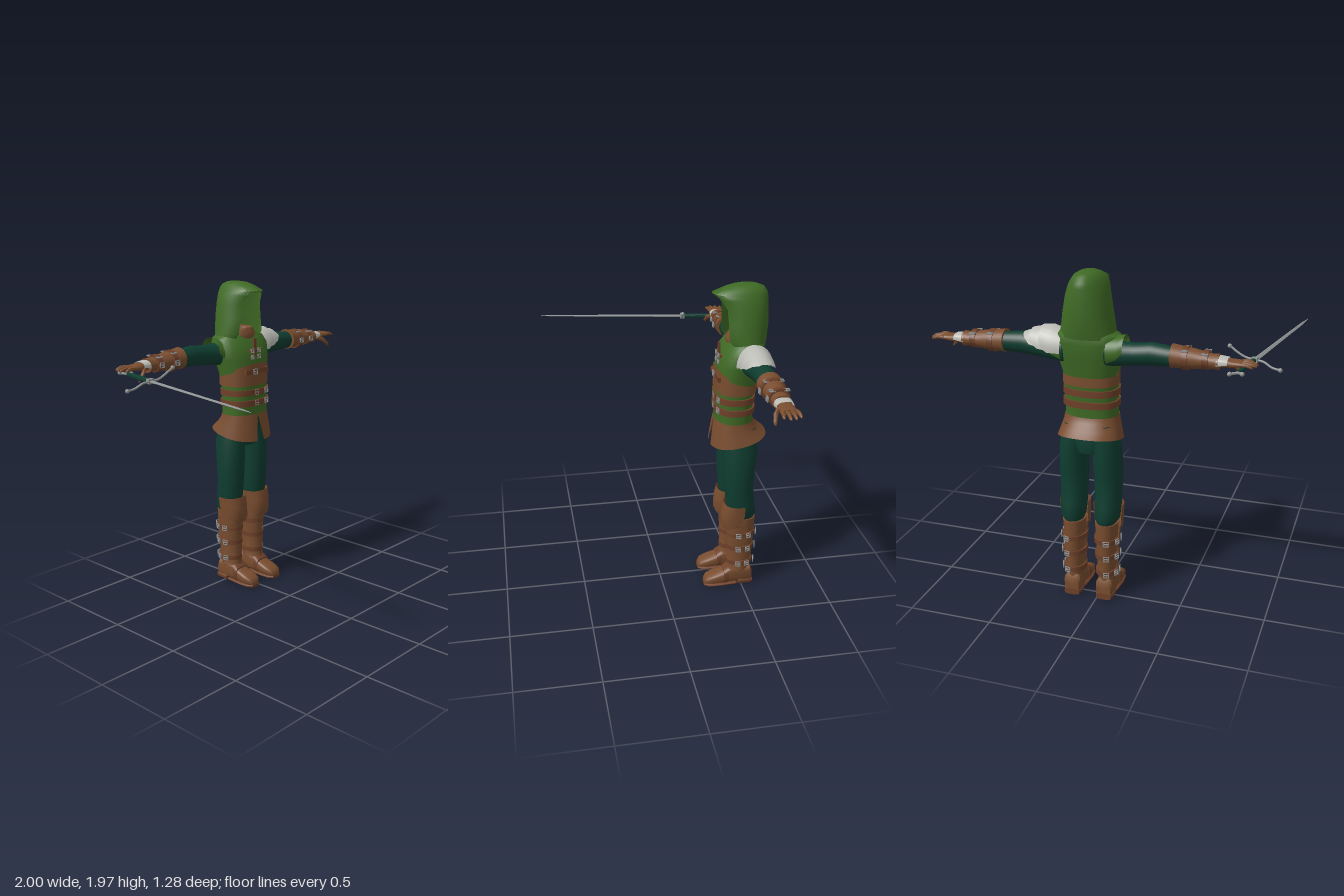
import * as THREE from 'three';
import { toCreasedNormals } from 'three/addons/utils/BufferGeometryUtils.js';

const mat = (name, color, side = THREE.FrontSide) => {
  const m = new THREE.MeshStandardMaterial({ color, side });
  m.name = name;
  return m;
};

// Rings along y: [y, cx, cz, rx, rz, gap]. An open ring leaves a gap opposite the angle mid (0 = front).
function loft(rings, { p = 2, seg = 32, mid = null, caps = true, warp = null, crease = 0.7 } = {}) {
  const open = mid !== null, n = open ? seg + 1 : seg, pos = [], idx = [];
  const pw = (v) => Math.sign(v) * Math.abs(v) ** (2 / p);
  const v = new THREE.Vector3();
  for (const [y, cx, cz, rx, rz, gap = 0] of rings) {
    for (let j = 0; j < n; j++) {
      const a = open ? mid + ((2 * j) / seg - 1) * (Math.PI - gap) : (j / seg) * Math.PI * 2;
      v.set(cx + rx * pw(Math.sin(a)), y, cz + rz * pw(Math.cos(a)));
      if (warp) warp(v);
      pos.push(v.x, v.y, v.z);
    }
  }
  for (let i = 0; i < rings.length - 1; i++) {
    for (let j = 0; j < seg; j++) {
      const k = (j + 1) % n, a = i * n + j, b = i * n + k, c = b + n, d = a + n;
      idx.push(a, b, c, a, c, d);
    }
  }
  if (caps && !open) {
    for (const i of [0, rings.length - 1]) {
      const [y, cx, cz] = rings[i], c = pos.length / 3;
      pos.push(cx, y, cz);
      for (let j = 0; j < seg; j++) {
        const a = i * n + j, b = i * n + ((j + 1) % n);
        if (i === 0) idx.push(c, b, a); else idx.push(c, a, b);
      }
    }
  }
  const g = new THREE.BufferGeometry();
  g.setAttribute('position', new THREE.Float32BufferAttribute(pos, 3));
  g.setIndex(idx);
  return toCreasedNormals(g, crease);
}

// Closed band with square edges
const band = (y0, y1, cx, cz, rx, rz, opt) => loft([
  [y0, cx, cz, rx - 0.02, rz - 0.02], [y0, cx, cz, rx, rz],
  [y1, cx, cz, rx, rz], [y1, cx, cz, rx - 0.02, rz - 0.02]], { caps: false, ...opt });

export function createModel() {
  const green = mat('hood green', 0x3f6a25, THREE.DoubleSide);
  const teal = mat('dark teal cloth', 0x0f3d30);
  const brown = mat('brown leather', 0x794d2f, THREE.DoubleSide);
  const strap = mat('strap leather', 0x6e4029);
  const silver = mat('silver metal', 0x8b8f8e);
  const pale = mat('pale plate', 0xbcbcb6, THREE.DoubleSide);

  const root = new THREE.Group();
  root.name = 'hoodedSwordsman';
  const body = new THREE.Group();
  body.name = 'body';
  body.position.set(0.055, 0, -0.47);
  root.add(body);
  const add = (name, geo, m, parent = body) => {
    const o = new THREE.Mesh(geo, m);
    o.name = name;
    parent.add(o);
    return o;
  };
  const tube = (pts, r, seg = 16) => new THREE.TubeGeometry(
    new THREE.CatmullRomCurve3(pts.map((q) => new THREE.Vector3(...q))), seg, r, 8);

  // Square buckle frame with a prong
  const buckle = (x, y, z, rotY = 0, size = 0.022, flat = false) => {
    const b = new THREE.Group();
    b.name = 'buckle';
    b.position.set(x, y, z);
    b.rotation.set(flat ? -Math.PI / 2 : 0, rotY, 0);
    add('buckleFrame', new THREE.TorusGeometry(size, 0.0045, 6, 4).rotateZ(Math.PI / 4), silver, b);
    add('bucklePin', new THREE.BoxGeometry(size * 1.7, 0.006, 0.008), silver, b);
    body.add(b);
  };

  // Torso
  add('vest', loft([[1.12, 0, 0.03, 0.152, 0.11], [1.3, 0, 0.03, 0.152, 0.112], [1.4, 0, 0.02, 0.16, 0.122],
    [1.5, 0, 0.008, 0.186, 0.128], [1.58, 0, -0.01, 0.198, 0.125], [1.625, 0, -0.025, 0.185, 0.105],
    [1.66, 0, -0.03, 0.12, 0.09]], { p: 2.5 }), green);
  add('corset', band(1.33, 1.39, 0, 0.025, 0.161, 0.124, {
    p: 2.5, warp: (v) => { if (v.y > 1.38) v.y += 0.075 * Math.max(0, v.z / 0.14); } }), brown);
  for (const y of [1.2, 1.268]) {
    add('beltStrap', band(y, y + 0.038, 0, 0.03, 0.163, 0.122, { p: 2.5 }), strap);
    for (const x of [-0.01, 0.085]) buckle(x, y + 0.019, 0.15 - Math.abs(x) * 0.08, x * 2);
  }
  add('chestStrap', new THREE.BoxGeometry(0.2, 0.03, 0.02), strap).position.set(0, 1.42, 0.14);
  buckle(-0.02, 1.42, 0.152);
  add('frontPlacket', new THREE.BoxGeometry(0.022, 0.17, 0.012), strap).position.set(0, 1.54, 0.126);
  for (const y of [1.51, 1.55]) {
    add('chestTab', new THREE.BoxGeometry(0.11, 0.016, 0.012), strap).position.set(0, y, 0.126);
    for (const s of [-1, 1]) buckle(s * 0.03, y, 0.136, 0, 0.016);
  }
  add('collar', loft([[1.62, 0, -0.01, 0.1, 0.095], [1.65, 0, -0.005, 0.1, 0.095], [1.685, 0, -0.01, 0.085, 0.08],
    [1.68, 0, -0.01, 0.07, 0.065], [1.64, 0, -0.01, 0.06, 0.055]]), brown);

  // Split skirt with a lower front hem
  add('skirt', loft([[1.01, 0, 0, 0.187, 0.172, 0.13], [1.06, 0, 0.015, 0.175, 0.148, 0.08],
    [1.11, 0, 0.028, 0.162, 0.126, 0.03], [1.145, 0, 0.03, 0.157, 0.117, 0.01]], {
    mid: Math.PI, p: 2.3, seg: 40,
    warp: (v) => { v.y -= 0.037 * (v.z / 0.17) * Math.max(0, (1.145 - v.y) / 0.135); } }), brown);
  add('hips', loft([[0.93, 0, -0.005, 0.1, 0.09], [1.0, 0, 0, 0.15, 0.105], [1.13, 0, 0.02, 0.148, 0.1]]), teal);

  // Hood, open at the face and peaked forward
  add('hood', loft([[1.615, 0, -0.03, 0.16, 0.115, 0.72], [1.66, 0, -0.015, 0.152, 0.138, 0.72],
    [1.75, 0, -0.018, 0.138, 0.143, 0.7], [1.84, 0, -0.014, 0.122, 0.143, 0.66], [1.895, 0, 0, 0.107, 0.155, 0.5],
    [1.922, 0, 0.012, 0.094, 0.163, 0.02], [1.95, 0, -0.012, 0.072, 0.12, 0], [1.966, 0, -0.018, 0.045, 0.075, 0],
    [1.973, 0, -0.02, 0.001, 0.002, 0]], { mid: Math.PI, p: 2.1, seg: 40, crease: 1.1 }), green);

  for (const s of [1, -1]) {
    const side = s > 0 ? 'left' : 'right';
    const limb = (name, rings, m, opt) => add(side + name, loft(rings, opt), m);

    // Trousers
    limb('TrouserLeg', [[0.485, s * 0.1, -0.03, 0.055, 0.07], [0.52, s * 0.105, -0.025, 0.073, 0.088],
      [0.6, s * 0.105, -0.01, 0.078, 0.09], [0.7, s * 0.105, 0, 0.081, 0.089], [0.8, s * 0.104, 0, 0.085, 0.095],
      [0.95, s * 0.1, -0.004, 0.083, 0.106], [1.1, s * 0.08, 0, 0.075, 0.095]], teal);

    // Boots
    limb('BootShaft', [[0.03, s * 0.1, -0.03, 0.05, 0.066], [0.13, s * 0.1, -0.022, 0.052, 0.07],
      [0.3, s * 0.1, -0.025, 0.058, 0.08], [0.49, s * 0.1, -0.025, 0.068, 0.086],
      [0.49, s * 0.1, -0.025, 0.055, 0.07]], brown);
    limb('ShinGuard', [[0.12, s * 0.1, -0.01, 0.066, 0.078, 1.45], [0.145, s * 0.1, -0.012, 0.06, 0.074, 1.45],
      [0.3, s * 0.1, -0.015, 0.066, 0.08, 1.45], [0.46, s * 0.102, -0.01, 0.076, 0.088, 1.45]], brown, { mid: 0 });
    limb('KneePlate', [[0.425, s * 0.102, 0.004, 0.078, 0.093, 2.0], [0.455, s * 0.102, 0.004, 0.081, 0.105, 1.5],
      [0.53, s * 0.104, 0, 0.085, 0.106, 1.4], [0.595, s * 0.104, -0.004, 0.09, 0.095, 1.4]], brown,
    { mid: 0, p: 2.4 });
    const foot = (name, rows, y0, m) => add(side + name, loft(rows.map(([z, h, w]) =>
      [z, s * 0.1, -(y0 + h / 2), w, h / 2]), { p: 3.2 }).rotateX(Math.PI / 2), m);
    foot('Foot', [[-0.1, 0.09, 0.042], [-0.085, 0.12, 0.052], [0.04, 0.118, 0.052], [0.085, 0.085, 0.055],
      [0.15, 0.064, 0.056], [0.19, 0.047, 0.047], [0.207, 0.025, 0.03]], 0.015, brown);
    foot('Sole', [[0.0, 0.02, 0.05], [0.12, 0.02, 0.059], [0.185, 0.02, 0.052], [0.21, 0.02, 0.033]], 0, strap);
    foot('Heel', [[-0.104, 0.04, 0.046], [-0.08, 0.04, 0.054], [-0.01, 0.04, 0.054]], 0, strap);
    foot('InstepStrap', [[0.055, 0.117, 0.058], [0.085, 0.094, 0.059]], 0.014, strap);
    for (const [y, rx, rz] of [[0.17, 0.067, 0.084], [0.28, 0.071, 0.088], [0.38, 0.075, 0.092]]) {
      add(side + 'BootStrap', band(y - 0.015, y + 0.015, s * 0.1, -0.02, rx, rz), strap);
      for (const a of [1.3, 1.95, 2.85]) {
        buckle(s * (0.1 + (rx + 0.006) * Math.sin(a)), y, -0.02 + (rz + 0.008) * Math.cos(a), s * a, 0.021);
      }
    }

    // Arms: rings run outward as [distance, height, z, half height, half depth, gap]
    const arm = (name, rings, m, opt) => add(side + name, loft(rings.map(([d, h, ...r]) =>
      [d, -s * h, ...r]), opt).rotateZ(-s * Math.PI / 2), m);
    arm('Sleeve', [[0.12, 1.535, -0.04, 0.082, 0.085], [0.2, 1.53, -0.042, 0.068, 0.072],
      [0.28, 1.535, -0.045, 0.062, 0.062], [0.37, 1.545, -0.045, 0.063, 0.06], [0.5, 1.54, -0.045, 0.055, 0.055]], teal);
    arm('VestShoulder', [[0.13, 1.54, -0.035, 0.09, 0.1, 0.9], [0.19, 1.545, -0.04, 0.085, 0.088, 1.2],
      [0.222, 1.55, -0.042, 0.088, 0.08, 1.6]], green, { mid: -s * Math.PI / 2 });
    arm('Bracer', [[0.482, 1.545, -0.043, 0.05, 0.055], [0.482, 1.545, -0.043, 0.066, 0.072],
      [0.5, 1.545, -0.043, 0.063, 0.069], [0.6, 1.54, -0.043, 0.055, 0.06], [0.7, 1.535, -0.044, 0.041, 0.049],
      [0.74, 1.535, -0.044, 0.043, 0.052], [0.74, 1.535, -0.044, 0.025, 0.03]], brown);
    for (const [d, r] of [[0.56, 0.067], [0.67, 0.055]]) {
      arm('BracerStrap', [[d - 0.016, 1.54, -0.043, r - 0.02, r - 0.016], [d - 0.016, 1.54, -0.043, r - 0.002, r + 0.004],
        [d + 0.016, 1.54, -0.043, r - 0.002, r + 0.004], [d + 0.016, 1.54, -0.043, r - 0.02, r - 0.016]], strap,
      { caps: false });
      for (const z of [-0.085, -0.005]) buckle(s * d, 1.535 + r * 0.82, z, 0, 0.02, true);
      buckle(s * d, 1.535, -0.035 + r, 0, 0.02);
    }

    // Gloved hand
    arm('Palm', [[0.72, 1.535, -0.045, 0.028, 0.034], [0.77, 1.535, -0.045, 0.024, 0.038],
      [0.81, 1.535, -0.045, 0.02, 0.046], [0.865, 1.538, -0.045, 0.014, 0.045]], brown, { p: 2.5 });
    arm('HandPlate', [[0.73, 1.533, -0.045, 0.036, 0.05, 1.4], [0.76, 1.535, -0.045, 0.032, 0.051, 1.45],
      [0.79, 1.537, -0.045, 0.026, 0.048, 1.5]], pale, { mid: -s * Math.PI / 2, p: 2.6 });
    [0.925, 0.942, 0.945, 0.925].forEach((tip, i) => {
      const z = -0.084 + i * 0.026, zt = z + (i - 1.5) * 0.004;
      arm('Finger', [[0.855, 1.539, z, 0.011, 0.012], [0.89, 1.541, (z + zt) / 2, 0.011, 0.0115],
        [tip - 0.012, 1.534, zt, 0.009, 0.009], [tip, 1.53, zt, 0.004, 0.004]], brown, { seg: 10 });
    });
    arm('Thumb', [[0.775, 1.525, -0.015, 0.014, 0.014], [0.81, 1.505, 0.012, 0.016, 0.014],
      [0.845, 1.473, 0.022, 0.012, 0.01], [0.853, 1.465, 0.023, 0.005, 0.005]], brown, { seg: 12 });
  }

  // Layered shoulder armour on the left
  [[[0.13, 1.535, -0.04, 0.105, 0.095, 1.45], [0.2, 1.535, -0.04, 0.127, 0.106, 1.5], [0.255, 1.535, -0.04, 0.122, 0.1, 1.75]],
    [[0.19, 1.535, -0.04, 0.12, 0.1, 1.55], [0.26, 1.535, -0.042, 0.114, 0.1, 1.65], [0.315, 1.535, -0.044, 0.102, 0.09, 2.0]],
    [[0.25, 1.535, -0.042, 0.107, 0.094, 1.7], [0.31, 1.535, -0.045, 0.094, 0.09, 1.85],
      [0.345, 1.535, -0.045, 0.082, 0.084, 2.3], [0.375, 1.535, -0.045, 0.07, 0.07, 3.0]],
  ].forEach((rings) => add('shoulderPlate', loft(rings.map(([d, h, ...r]) => [d, -h, ...r]),
    { mid: -Math.PI / 2 }).rotateZ(-Math.PI / 2), pale));

  // Sword held forward in the right hand
  const sword = new THREE.Group();
  sword.name = 'sword';
  sword.position.set(-0.835, 1.495, -0.3);
  sword.rotation.y = -0.174;
  root.add(sword);
  add('blade', loft([[0, 0, 0, 0.017, 0.008], [0.84, 0, 0, 0.011, 0.006], [0.954, 0, 0, 0.002, 0.002]],
    { seg: 4, crease: 0.2 }).rotateX(Math.PI / 2), silver, sword);
  add('grip', loft([[-0.25, 0, 0, 0.012, 0.012], [-0.12, 0, 0, 0.017, 0.016], [-0.01, 0, 0, 0.013, 0.013]],
    { seg: 12 }).rotateX(Math.PI / 2), teal, sword);
  add('crossguard', tube([[-0.145, -0.038, 0], [-0.1, -0.03, 0], [-0.05, -0.006, 0.004], [0, 0, 0.005],
    [0.05, 0.006, 0.004], [0.1, 0.03, 0], [0.145, 0.06, 0]], 0.007, 32), silver, sword);
  add('guardBlock', new THREE.BoxGeometry(0.036, 0.028, 0.03), silver, sword);
  add('pommelBar', tube([[-0.036, 0.008, -0.285], [0, 0, -0.255], [0.036, -0.004, -0.28]], 0.008), silver, sword);
  for (const [x, y, z] of [[-0.147, -0.038, 0], [0.147, 0.06, 0], [-0.036, 0.008, -0.285], [0.036, -0.004, -0.28]]) {
    add('swordKnob', new THREE.SphereGeometry(0.013, 12, 8), silver, sword).position.set(x, y, z);
  }
  return root;
}
